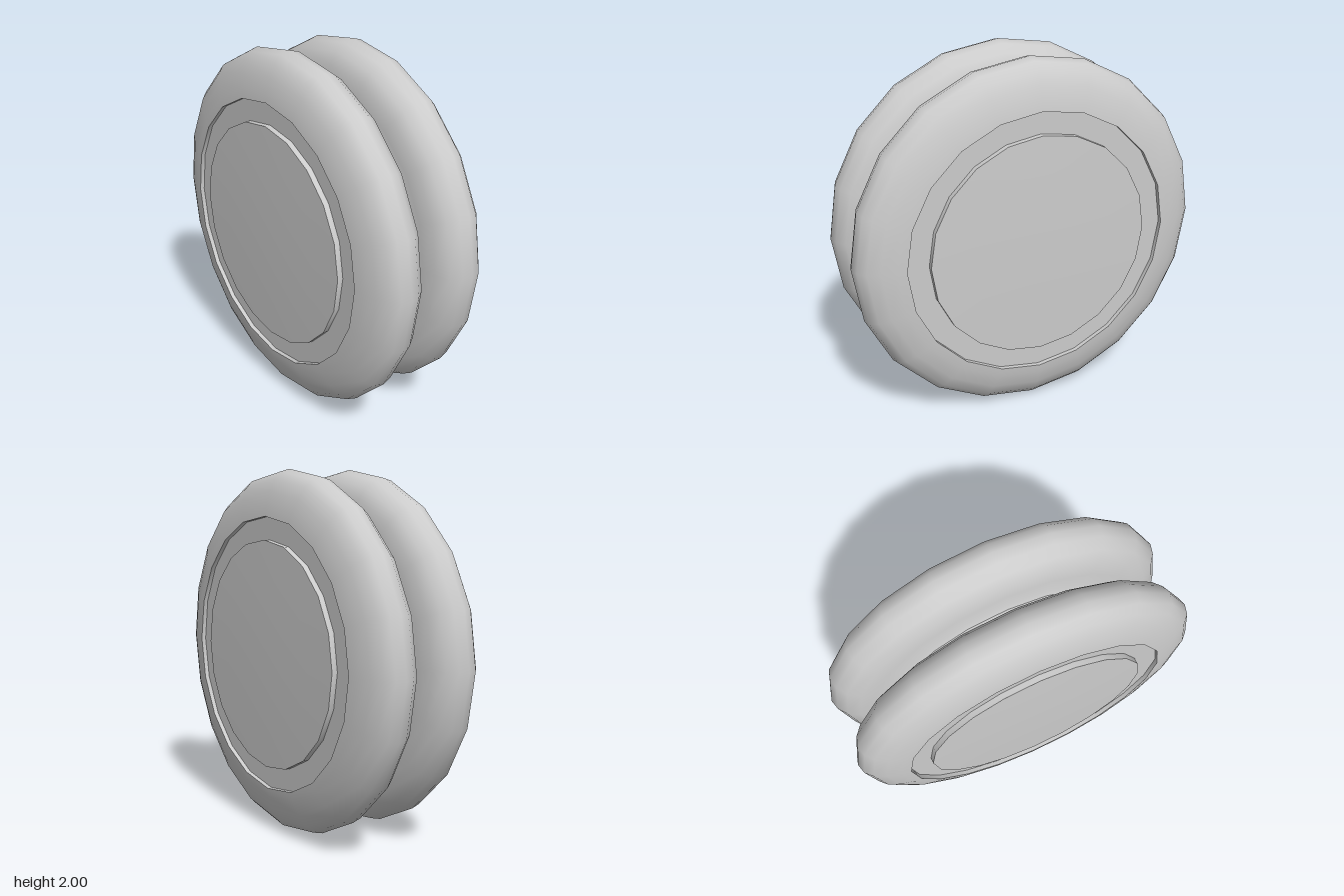
import * as THREE from 'three';
import { toCreasedNormals } from 'three/addons/utils/BufferGeometryUtils.js';

const SIDES = 20;

// Revolve [radius, depth] points around the z axis, keeping sharp edges sharp
function revolve(points, name, material) {
  const profile = points.map(([r, z]) => new THREE.Vector2(r, z));
  const geometry = new THREE.LatheGeometry(profile, SIDES).rotateX(Math.PI / 2);
  const mesh = new THREE.Mesh(toCreasedNormals(geometry, 0.8), material);
  mesh.name = name;
  return mesh;
}

export function createModel() {
  const material = new THREE.MeshStandardMaterial({ color: 0xcccccc });
  const model = new THREE.Group();
  model.name = 'yoyo';

  // Rounded shell from the string gap, over the rim, into the face recess
  const shell = [
    [0.69, 0.025], [0.72, 0.036], [0.8, 0.044], [0.88, 0.058], [0.945, 0.092],
    [0.985, 0.145], [1, 0.2], [0.985, 0.255], [0.945, 0.295], [0.88, 0.325],
    [0.8, 0.348], [0.75, 0.355], [0.75, 0.33], [0.625, 0.33],
  ];
  // Slightly domed cap raised from the recess
  const cap = [[0.625, 0.33], [0.625, 0.362], [0.42, 0.367], [0.22, 0.37], [0, 0.371]];

  for (const [name, turn] of [['frontHalf', 0], ['backHalf', Math.PI]]) {
    const half = new THREE.Group();
    half.name = name;
    half.add(revolve(shell, 'shell', material), revolve(cap, 'faceCap', material));
    half.rotation.y = turn;
    model.add(half);
  }

  // Axle at the bottom of the string gap
  model.add(revolve([[0.69, -0.026], [0.69, 0.026]], 'axle', material));

  for (const part of model.children) part.position.y = 1;
  return model;
}
